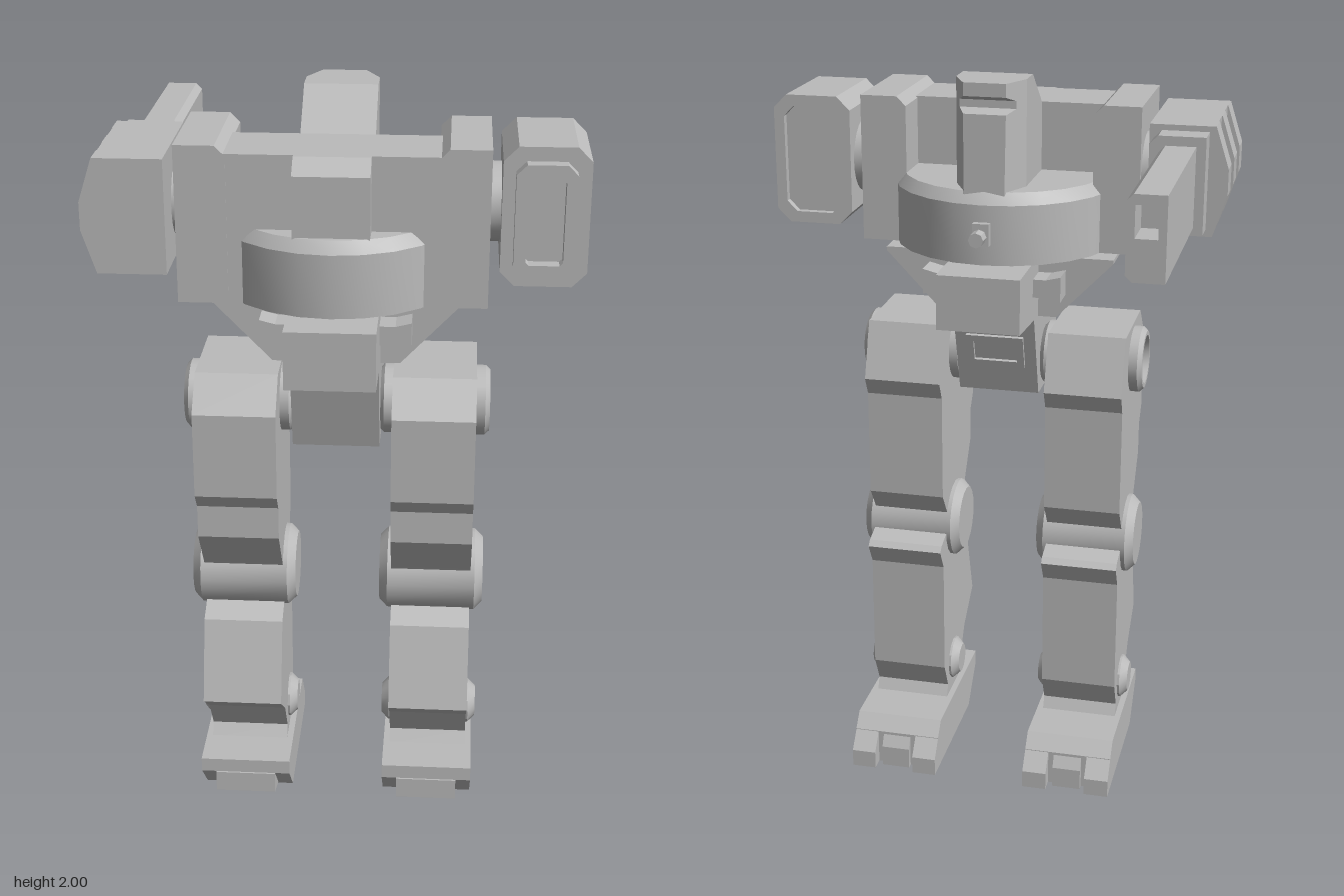
import * as THREE from 'three';
import { toCreasedNormals } from 'three/addons/utils/BufferGeometryUtils.js';

const grey = new THREE.MeshStandardMaterial({ color: 0xbbbbbb });
grey.name = 'grey';

function add(parent, name, geometry) {
  const mesh = new THREE.Mesh(geometry, grey);
  mesh.name = name;
  parent.add(mesh);
  return mesh;
}

const shapeOf = (pts) => new THREE.Shape(pts.map(([a, b]) => new THREE.Vector2(a, b)));

// [x, y] outline pushed from z0 to z1, with an optional hole
function frontPrism(pts, z0, z1, hole) {
  const shape = shapeOf(pts);
  if (hole) shape.holes.push(new THREE.Path(hole.map(([a, b]) => new THREE.Vector2(a, b))));
  return new THREE.ExtrudeGeometry(shape, { depth: z1 - z0, bevelEnabled: false }).translate(0, 0, z0);
}

// [z, y] outline pushed from x0 to x1
function sidePrism(pts, x0, x1) {
  return new THREE.ExtrudeGeometry(shapeOf(pts.map(([z, y]) => [-z, y])), { depth: x1 - x0, bevelEnabled: false })
    .rotateY(Math.PI / 2).translate(x0, 0, 0);
}

function box(x0, x1, y0, y1, z0, z1) {
  return new THREE.BoxGeometry(x1 - x0, y1 - y0, z1 - z0)
    .translate((x0 + x1) / 2, (y0 + y1) / 2, (z0 + z1) / 2);
}

// turned [radius, height] profile
function turned(pts, segments) {
  return toCreasedNormals(new THREE.LatheGeometry(pts.map(([r, h]) => new THREE.Vector2(r, h)), segments), 0.5);
}

// chamfered pivot along x, centred on (0, y, z)
function pivot(r, half, chamfer, y, z, segments) {
  return turned([[0, -half], [r - chamfer, -half], [r, -half + chamfer], [r, half - chamfer], [r - chamfer, half], [0, half]], segments)
    .rotateZ(-Math.PI / 2).translate(0, y, z);
}

// rectangle with cut corners on chosen sides
function cutRect(x0, x1, y0, y1, c, cutLeft = true) {
  const l = cutLeft ? c : 0;
  const left = cutLeft ? [[x0, y1 - l], [x0, y0 + l]] : [];
  return [[x0 + l, y0], [x1 - c, y0], [x1, y0 + c], [x1, y1 - c], [x1 - c, y1], [x0 + l, y1], ...left];
}

function createLeg() {
  const leg = new THREE.Group();
  add(leg, 'thigh', sidePrism([[0.31, 1.305], [0.39, 1.22], [0.39, 0.99], [0.355, 0.945], [0.355, 0.855], [0.27, 0.735],
    [0.22, 0.66], [0.1, 0.66], [0.07, 0.73], [0.02, 0.8], [0.02, 1.1], [-0.005, 1.15], [0.05, 1.305]], -0.107, 0.107));
  // hip pivot with recessed ends
  add(leg, 'hipPivot', turned([[0, -0.125], [0.068, -0.125], [0.068, -0.143], [0.08, -0.143], [0.092, -0.131],
    [0.092, 0.131], [0.08, 0.143], [0.068, 0.143], [0.068, 0.125], [0, 0.125]], 24)
    .rotateZ(-Math.PI / 2).translate(0, 1.2, 0.195));
  add(leg, 'knee', pivot(0.112, 0.14, 0.022, 0.68, 0.165, 20));
  add(leg, 'shin', sidePrism([[0.3, 0.57], [0.37, 0.35], [0.265, 0.27], [0.2, 0.17], [0.06, 0.17], [0.02, 0.25],
    [0.02, 0.58], [-0.015, 0.64], [0, 0.655], [0.07, 0.675], [0.2, 0.62]], -0.107, 0.107));
  add(leg, 'ankle', pivot(0.062, 0.133, 0.02, 0.23, 0.13, 12));
  add(leg, 'ankleBase', sidePrism([[0.2, 0.175], [0.225, 0.135], [0.04, 0.135], [0.06, 0.175]], -0.107, 0.107));

  // foot with heel block and three toes
  add(leg, 'foot', sidePrism([[0.34, 0.14], [0.34, 0.1], [0.245, 0], [-0.13, 0], [-0.13, 0.1], [-0.095, 0.14]], -0.124, 0.124));
  add(leg, 'heel', sidePrism([[0.345, 0.1], [0.345, 0.04], [0.25, 0.01], [0.25, 0.1]], -0.083, 0.083));
  for (const s of [-1, 1]) {
    const x = s * 0.09;
    add(leg, 'outerToe', sidePrism([[-0.12, 0], [-0.17, 0], [-0.17, 0.05], [-0.12, 0.11]], x - 0.034, x + 0.034));
  }
  add(leg, 'middleToe', sidePrism([[-0.12, 0], [-0.148, 0], [-0.148, 0.06], [-0.12, 0.11]], -0.04, 0.04));
  return leg;
}

function createPelvis() {
  const pelvis = new THREE.Group();
  pelvis.name = 'pelvis';
  add(pelvis, 'hipBlock', sidePrism([[0.54, 1.51], [0.54, 1.36], [0.37, 1.345], [0.31, 1.11], [0.1, 1.11],
    [0.03, 1.345], [-0.155, 1.36], [-0.155, 1.51]], -0.115, 0.11));
  add(pelvis, 'hipWings', frontPrism([[-0.32, 1.51], [-0.32, 1.5], [-0.165, 1.34], [0.16, 1.34], [0.312, 1.5], [0.312, 1.51]], 0.085, 0.3));
  // side boxes with a slight flare
  for (const s of [-1, 1]) {
    add(pelvis, 'sideBox', frontPrism([[s * 0.1, 1.415], [s * 0.15, 1.415], [s * 0.19, 1.405], [s * 0.19, 1.475],
      [s * 0.15, 1.465], [s * 0.1, 1.465]], 0.01, 0.37));
  }
  const panel = add(pelvis, 'hipPanel', frontPrism([[-0.08, -0.05], [0.08, -0.05], [0.08, 0.05], [-0.08, 0.05]], -0.006, 0.006,
    [[-0.06, -0.03], [0.06, -0.03], [0.06, 0.03], [-0.06, 0.03]]));
  panel.position.set(-0.002, 1.24, 0.058);
  panel.rotation.x = -0.29;
  return pelvis;
}

function createTorso() {
  const torso = new THREE.Group();
  torso.name = 'torso';
  add(torso, 'drum', turned([[0, 1.53], [0.303, 1.53], [0.303, 1.69], [0.28, 1.72], [0, 1.72]], 24).translate(-0.003, 0, 0.195));
  add(torso, 'crossBeam', box(-0.28, 0.27, 1.53, 1.905, 0.2, 0.4));
  for (const s of [-1, 1]) {
    const block = frontPrism([[s * 0.255, 1.53], [s * 0.38, 1.53], [s * 0.38, 1.925], [s * 0.28, 1.925], [s * 0.255, 1.9]], 0.08, 0.402);
    add(torso, 'shoulderBlock', block.translate(-0.005, 0, 0));
    add(torso, 'shoulderPivot', pivot(0.1, 0.03, 0.005, 1.74, 0.195, 24).translate(s * 0.395, 0, 0));
  }
  add(torso, 'chestBox', sidePrism([[0.39, 1.905], [0.41, 1.905], [0.46, 1.87], [0.46, 1.7], [0.39, 1.7]], -0.097, 0.09));

  // head: straight rear half and a tapered face with a visor slot
  add(torso, 'headRear', sidePrism([[0.21, 1.7], [0.21, 1.895], [0.075, 2], [0, 2], [0, 1.7]], -0.097, 0.09));
  const face = sidePrism([[0, 1.7], [0, 2], [-0.08, 2], [-0.08, 1.965], [-0.04, 1.95], [-0.04, 1.93], [-0.08, 1.92], [-0.085, 1.7]], -0.0935, 0.0935);
  const p = face.attributes.position;
  for (let i = 0; i < p.count; i++) p.setX(i, p.getX(i) * (1 + 5 * p.getZ(i)) - 0.0035);
  face.computeVertexNormals();
  add(torso, 'headFace', face);

  // small swivel gun
  add(torso, 'gunMount', new THREE.CylinderGeometry(0.012, 0.012, 0.08, 8).rotateX(Math.PI / 2).translate(-0.003, 1.615, -0.11));
  add(torso, 'gunTip', toCreasedNormals(new THREE.CylinderGeometry(0.02, 0.02, 0.038, 8), 0.3).rotateX(Math.PI / 2).translate(-0.003, 1.615, -0.16));
  add(torso, 'gunBracket', box(-0.025, 0.019, 1.585, 1.645, -0.125, -0.09));
  return torso;
}

function createCannonArm() {
  const arm = new THREE.Group();
  arm.name = 'cannonArm';
  add(arm, 'armBody', box(-0.58, -0.41, 1.6, 1.89, 0.05, 0.402));
  for (const z of [0.05, 0.19, 0.332]) {
    add(arm, 'armRib', frontPrism([[-0.575, 1.6], [-0.575, 1.89], [-0.582, 1.89], [-0.618, 1.78], [-0.618, 1.71], [-0.582, 1.6]], z, z + 0.07));
  }
  add(arm, 'collar', frontPrism(cutRect(-0.565, -0.42, 1.62, 1.875, 0.022, false), -0.02, 0.06));
  const outline = cutRect(-0.54, -0.445, 1.64, 1.85, 0.016, false);
  add(arm, 'barrel', frontPrism(outline, -0.44, -0.01));
  // open muzzle
  add(arm, 'muzzle', frontPrism(outline, -0.54, -0.44, [[-0.52, 1.745], [-0.465, 1.745], [-0.465, 1.825], [-0.52, 1.825]]));
  return arm;
}

function createPodArm() {
  const arm = new THREE.Group();
  arm.name = 'podArm';
  const outline = cutRect(0.402, 0.615, 1.57, 1.92, 0.036);
  add(arm, 'podBody', frontPrism(outline, 0.085, 0.345));
  add(arm, 'rearRim', frontPrism(outline, 0.065, 0.085, cutRect(0.43, 0.587, 1.6, 1.89, 0.028)));
  add(arm, 'frontFrame', frontPrism(cutRect(0.433, 0.58, 1.602, 1.885, 0.025), 0.34, 0.38, cutRect(0.462, 0.553, 1.635, 1.85, 0.008)));
  return arm;
}

export function createModel() {
  const model = new THREE.Group();
  model.name = 'walkingRobot';
  for (const [name, x] of [['rightLeg', -0.258], ['leftLeg', 0.25]]) {
    const leg = createLeg();
    leg.name = name;
    leg.position.x = x;
    model.add(leg);
  }
  model.add(createPelvis(), createTorso(), createCannonArm(), createPodArm());
  return model;
}
